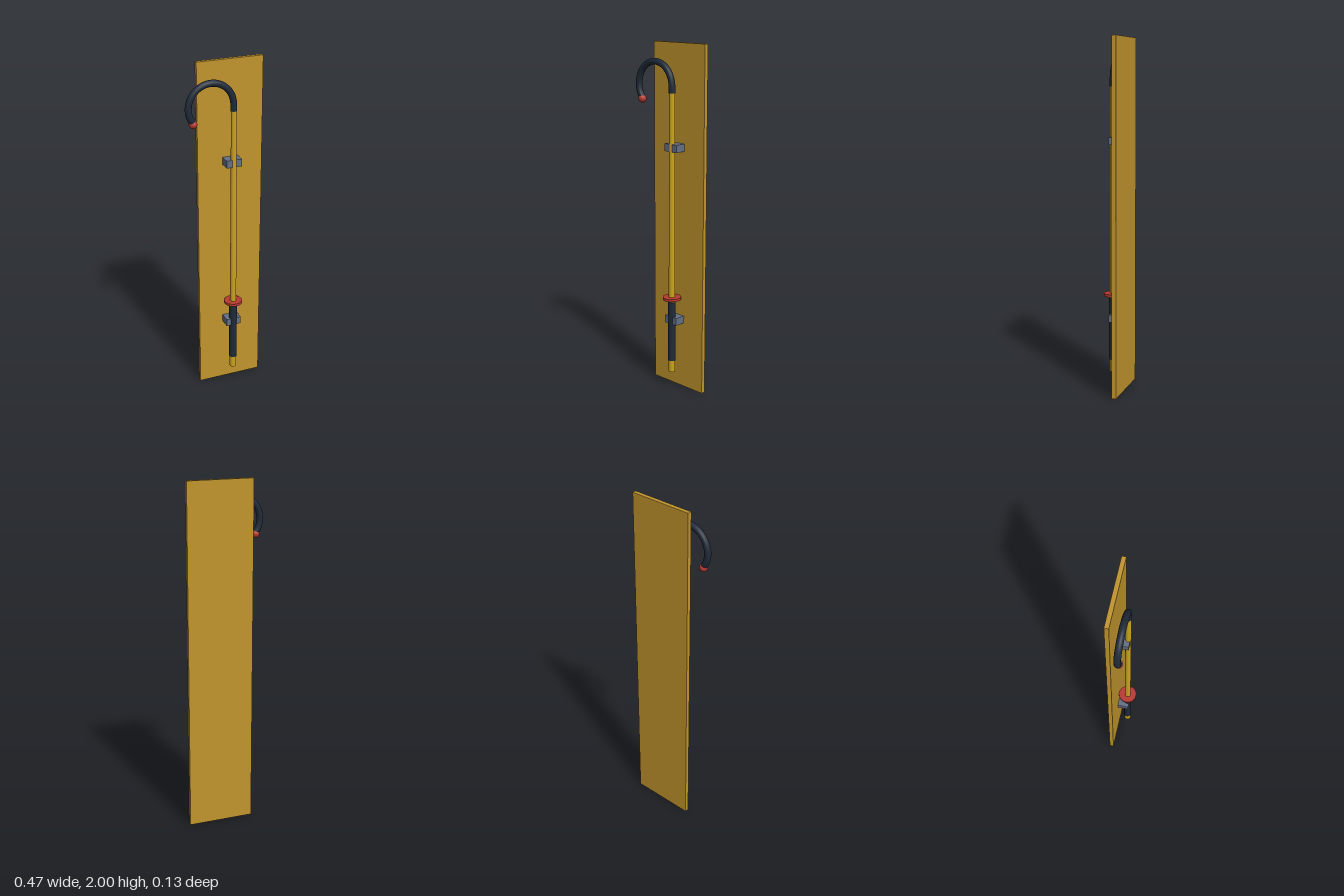
import * as THREE from 'three';

const mat = (name, color) => {
  const m = new THREE.MeshStandardMaterial({ color });
  m.name = name;
  return m;
};

export function createModel() {
  const group = new THREE.Group();
  const ochre = mat('ochre board', 0xc1952d);
  const yellow = mat('yellow pole', 0xcca41f);
  const navy = mat('dark navy', 0x1f2a38);
  const red = mat('red', 0xb83a32);
  const slate = mat('slate grey', 0x647086);

  const poleX = 0.043, poleZ = 0.01;
  const add = (name, geometry, material, x, y, z) => {
    const mesh = new THREE.Mesh(geometry, material);
    mesh.name = name;
    mesh.position.set(x, y, z);
    group.add(mesh);
  };
  // Upright round part on the pole axis, from y0 to y1
  const round = (name, material, y0, y1, rBottom, rTop, sides = 16) =>
    add(name, new THREE.CylinderGeometry(rTop, rBottom, y1 - y0, sides), material, poleX, (y0 + y1) / 2, poleZ);

  // Backing board
  add('backBoard', new THREE.BoxGeometry(0.382, 2, 0.024), ochre, 0.043, 1, -0.055);

  // Brackets holding the pole to the board
  for (const [name, y] of [['lowerBracket', 0.418], ['upperBracket', 1.428]]) {
    add(name, new THREE.BoxGeometry(0.09, 0.043, 0.065), slate, 0.043, y, -0.0105);
  }

  // Tapered pole, grip and guard disc
  round('pole', yellow, 0.1, 1.75, 0.0195, 0.0155);
  round('grip', navy, 0.17, 0.53, 0.0225, 0.0225);
  round('guardDisc', red, 0.545, 0.56, 0.053, 0.053, 20);

  // Crook: a curved tube from the pole top round to the tip
  const points = [];
  for (let i = 0; i <= 12; i++) {
    const a = THREE.MathUtils.degToRad(-15 + (235 * i) / 12);
    points.push(new THREE.Vector3(0.129 * Math.cos(a), 0.13 * Math.sin(a), 0));
  }
  points[0].set(0.129, -0.036, 0);
  const crook = new THREE.CatmullRomCurve3(points);
  add('crook', new THREE.TubeGeometry(crook, 48, 0.0185, 14), navy, -0.087, 1.765, poleZ);

  // Closed lower end of the crook
  const cap = new THREE.CircleGeometry(0.0185, 14).rotateX(Math.PI / 2);
  add('crookEnd', cap, navy, 0.042, 1.729, poleZ);

  // Ball on the crook tip
  add('tipBall', new THREE.SphereGeometry(0.0235, 16, 12), red, -0.19, 1.682, poleZ);

  return group;
}
